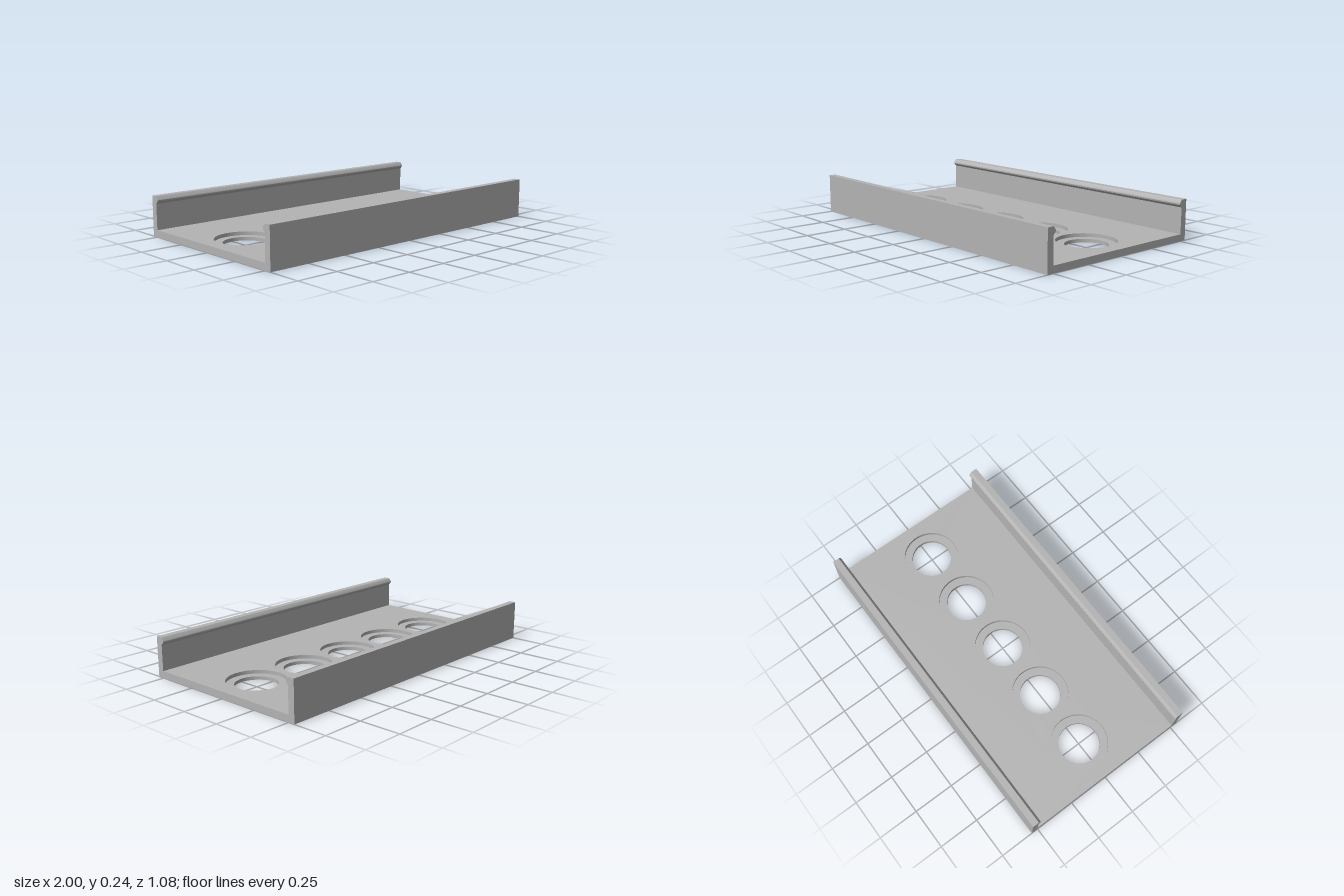
import * as THREE from 'three';
import { toCreasedNormals } from 'three/addons/utils/BufferGeometryUtils.js';

const LENGTH = 2, HALF_WIDTH = 0.541, WALL_INNER = 0.501, HEIGHT = 0.238;
const FLOOR = 0.041, LEDGE = 0.02;
const HOLE_XS = [-2, -1, 0, 1, 2].map((i) => i * 0.376);

// Horizontal plate with a row of round holes, from height y0 to y1
function perforatedPlate(radius, y0, y1) {
  const shape = new THREE.Shape();
  shape.moveTo(-LENGTH / 2, -WALL_INNER);
  shape.lineTo(LENGTH / 2, -WALL_INNER);
  shape.lineTo(LENGTH / 2, WALL_INNER);
  shape.lineTo(-LENGTH / 2, WALL_INNER);
  shape.closePath();
  for (const x of HOLE_XS) {
    const hole = new THREE.Path();
    hole.absarc(x, 0, radius, 0, Math.PI * 2, true);
    shape.holes.push(hole);
  }
  const geo = new THREE.ExtrudeGeometry(shape, { depth: y1 - y0, bevelEnabled: false, curveSegments: 32 });
  geo.rotateX(-Math.PI / 2).translate(0, y0, 0);
  return toCreasedNormals(geo, 0.5);
}

// Side wall with an inward snap lip along its top edge
function lippedWall() {
  const profile = new THREE.Shape([
    [HALF_WIDTH, 0], [HALF_WIDTH, HEIGHT], [WALL_INNER, HEIGHT],
    [0.488, 0.222], [0.486, 0.216], [0.488, 0.208],
    [WALL_INNER, 0.194], [WALL_INNER, 0],
  ].map(([x, y]) => new THREE.Vector2(x, y)));
  const geo = new THREE.ExtrudeGeometry(profile, { depth: LENGTH, bevelEnabled: false });
  geo.translate(0, 0, -LENGTH / 2).rotateY(Math.PI / 2);
  return toCreasedNormals(geo, 0.5);
}

export function createModel() {
  const model = new THREE.Group();
  model.name = 'channelRail';
  const grey = new THREE.MeshStandardMaterial({ color: 0xb3b3b3 });
  grey.name = 'light grey';

  const add = (name, geometry) => {
    const mesh = new THREE.Mesh(geometry, grey);
    mesh.name = name;
    model.add(mesh);
    return mesh;
  };

  // Floor: narrow holes below, wider recesses above
  add('floorLower', perforatedPlate(0.122, 0, LEDGE));
  add('floorUpper', perforatedPlate(0.17, LEDGE, FLOOR));

  // Mirrored side walls
  const wall = lippedWall();
  add('backWall', wall);
  add('frontWall', wall).rotation.y = Math.PI;

  return model;
}
